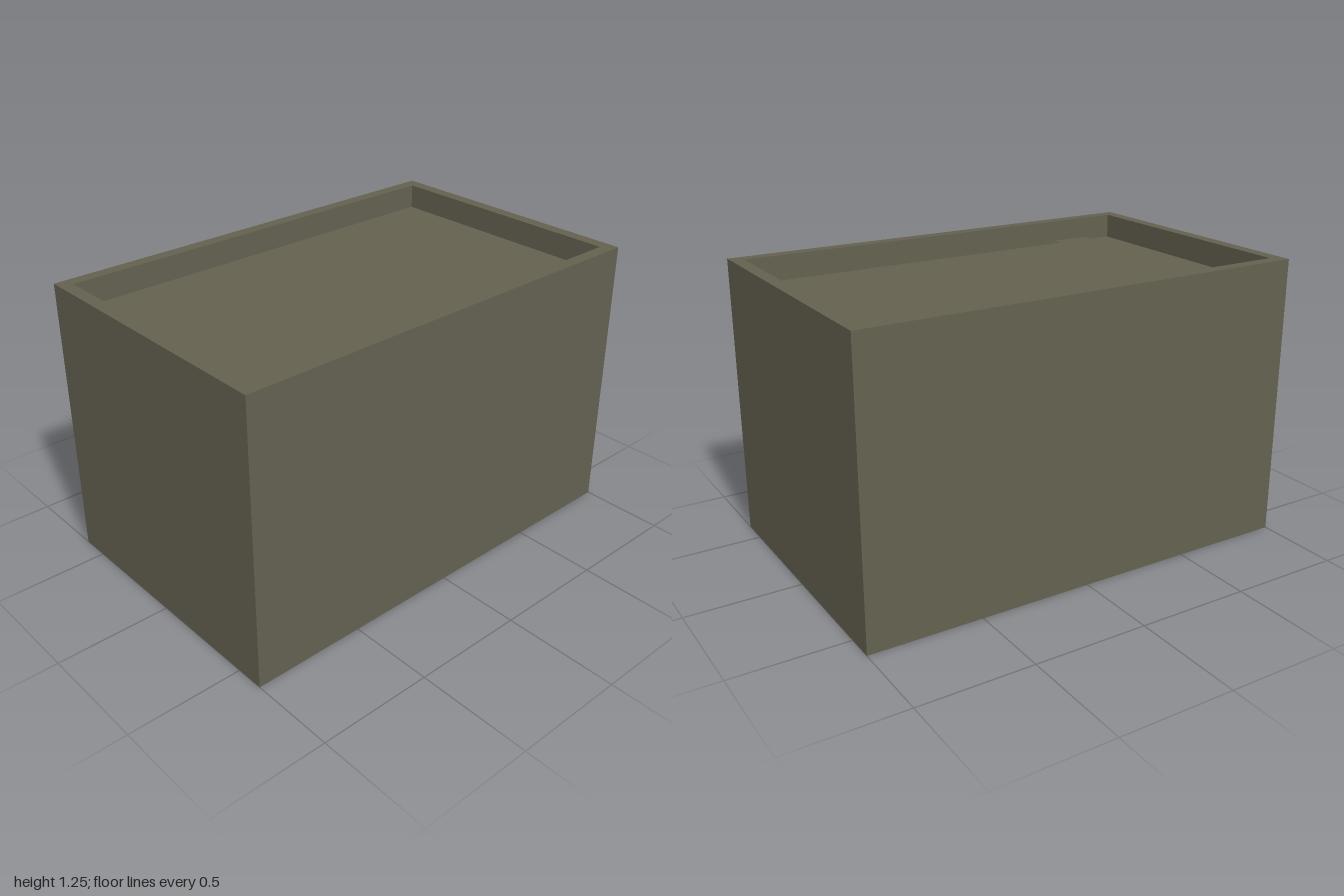
import * as THREE from 'three';

const W = 2, H = 1.25, D = 1.25;   // outer size
const IX = 0.945, IZ = 0.57;       // half size of the recess
const FLOOR = 1.14;                // height of the recess floor
const PANEL_Y = 1.174;             // height of the loose panels

// Rectangle outline centred on the origin
function rectPoints(hx, hz) {
  return [[-hx, -hz], [hx, -hz], [hx, hz], [-hx, hz]].map(([x, y]) => new THREE.Vector2(x, y));
}

export function createModel() {
  const model = new THREE.Group();
  const olive = new THREE.MeshStandardMaterial({ color: 0x646150 });
  olive.name = 'olive';
  const oliveSheet = new THREE.MeshStandardMaterial({ color: 0x646150, side: THREE.DoubleSide });
  oliveSheet.name = 'oliveSheet';

  const add = (name, geometry, material) => {
    const mesh = new THREE.Mesh(geometry, material);
    mesh.name = name;
    model.add(mesh);
    return mesh;
  };

  // Outer walls with a thin rim, open in the middle
  const outline = new THREE.Shape(rectPoints(W / 2, D / 2));
  outline.holes.push(new THREE.Path(rectPoints(IX, IZ)));
  const walls = new THREE.ExtrudeGeometry(outline, { depth: H, bevelEnabled: false });
  walls.rotateX(-Math.PI / 2);
  add('walls', walls, olive);

  // Solid core whose top is the recessed floor
  add('core', new THREE.BoxGeometry(IX * 2, FLOOR, IZ * 2), olive).position.y = FLOOR / 2;

  // Square panels hovering just above the floor: x, z, size
  const panels = [
    [-0.57, -0.27, 0.246],
    [0.005, -0.252, 0.273],
    [-0.66, 0.408, 0.171],
    [0.406, 0.358, 0.168],
  ];
  panels.forEach(([x, z, size], i) => {
    const sheet = new THREE.PlaneGeometry(size, size).rotateX(-Math.PI / 2);
    add(`panel${i + 1}`, sheet, oliveSheet).position.set(x, PANEL_Y, z);
  });

  return model;
}
